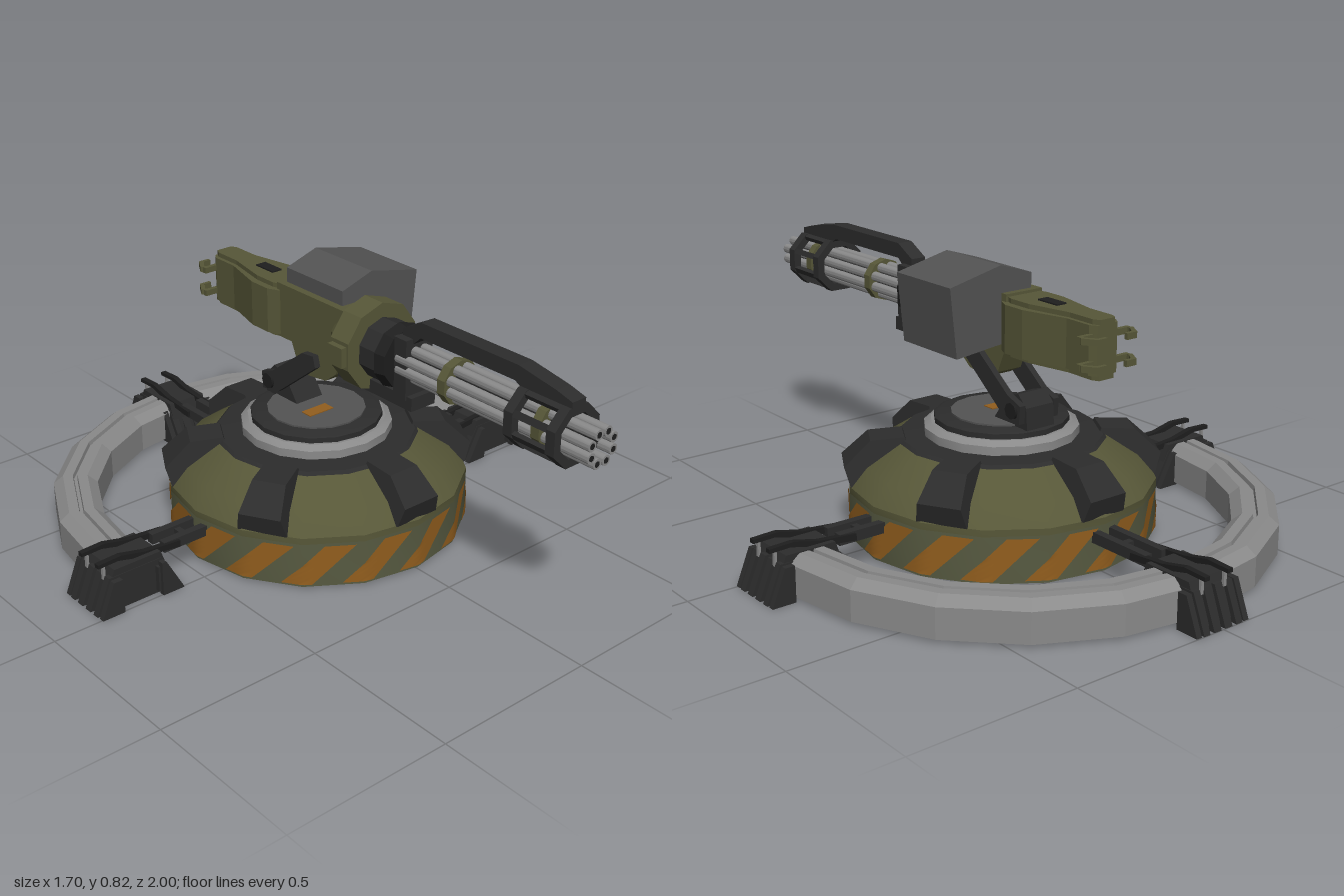
import * as THREE from 'three';
import { toCreasedNormals } from 'three/addons/utils/BufferGeometryUtils.js';

const mat = (name, color, side = THREE.FrontSide) => {
  const m = new THREE.MeshStandardMaterial({ color, side });
  m.name = name;
  return m;
};

export function createModel() {
  const olive = mat('olive', 0x575738, THREE.DoubleSide);
  const green = mat('stripe green', 0x575a41, THREE.DoubleSide);
  const orange = mat('orange', 0x925e1e, THREE.DoubleSide);
  const dark = mat('dark grey', 0x2c2c2c);
  const black = mat('black', 0x1e1e1e);
  const steel = mat('steel', 0x8a8a8a);
  const grey = mat('box grey', 0x535353);

  const add = (parent, name, geo, material, x = 0, y = 0, z = 0) => {
    const m = new THREE.Mesh(geo, material);
    m.name = name;
    m.position.set(x, y, z);
    parent.add(m);
    return m;
  };
  const group = (parent, name, x = 0, y = 0, z = 0) => {
    const g = new THREE.Group();
    g.name = name;
    g.position.set(x, y, z);
    parent.add(g);
    return g;
  };
  const box = (w, h, d) => new THREE.BoxGeometry(w, h, d);
  const lathe = (pts, n = 16, start = 0, len = Math.PI * 2, crease = 0.5) =>
    toCreasedNormals(new THREE.LatheGeometry(pts.map(p => new THREE.Vector2(...p)), n, start, len), crease);
  // cylinder lying along z
  const tubeZ = (r1, r2, len, n) =>
    toCreasedNormals(new THREE.CylinderGeometry(r1, r2, len, n).rotateX(Math.PI / 2), n > 10 ? 0.6 : 0.2);
  const extrude = (pts, depth) => {
    const s = new THREE.Shape(pts.map(p => new THREE.Vector2(...p)));
    return new THREE.ExtrudeGeometry(s, { depth, bevelEnabled: false }).translate(0, 0, -depth / 2);
  };
  // side profile given as (z, y), width along x
  const sideShape = (pts, width) => extrude(pts, width).rotateY(-Math.PI / 2);
  // plan given as (x, -z), height along y
  const planShape = (pts, height) => extrude(pts, height).rotateX(-Math.PI / 2);

  const model = new THREE.Group();
  model.name = 'turret';
  const CZ = -0.09, R = 0.458, SIDES = 16;

  // ---------- base ----------
  const base = group(model, 'base', 0, 0, CZ);
  add(base, 'baseWall', lathe([[R, 0.006], [R, 0.145]]), green);
  add(base, 'dome', lathe([[R, 0.145], [R, 0.165], [0.41, 0.22], [0.31, 0.285], [0.2, 0.285]]), olive);
  add(base, 'domeCollar', lathe([[0.315, 0.28], [0.3, 0.294], [0.21, 0.297]]), dark);
  add(base, 'steelRing', lathe([[0.23, 0.285], [0.23, 0.322], [0.21, 0.335], [0.185, 0.333]]), steel);
  add(base, 'turntable', lathe([[0.2, 0.325], [0.2, 0.35], [0.185, 0.356], [0, 0.356]]), dark);
  add(base, 'turntableDisc', new THREE.CylinderGeometry(0.15, 0.15, 0.006, 16), grey, 0, 0.358, 0);
  add(base, 'turntableLabel', box(0.09, 0.004, 0.04), orange, -0.02, 0.362, 0.03);
  // hub hanging inside the hollow base
  add(base, 'hub', lathe([[0.155, 0.075], [0.155, 0.062], [0.175, 0.062], [0.185, 0.09], [0.215, 0.22], [0.215, 0.285]]), steel);
  add(base, 'hubCap', new THREE.CylinderGeometry(0.16, 0.16, 0.02, 16), dark, 0, 0.08, 0);
  add(base, 'hubCentre', new THREE.CylinderGeometry(0.06, 0.06, 0.016, 8), black, 0, 0.066, 0);
  for (let i = 0; i < 8; i++) {
    const a = i * Math.PI / 4;
    add(base, 'hubTooth', box(0.05, 0.014, 0.06), black, Math.sin(a) * 0.11, 0.066, Math.cos(a) * 0.11).rotation.y = a;
  }

  // slanted warning stripes laid on both faces of the wall
  const facet = Math.PI * 2 / SIDES;
  for (let i = 0; i < 16; i++) for (const lift of [0.004, -0.004]) {
    const g = new THREE.PlaneGeometry(1, 1, 8, 8), p = g.attributes.position;
    for (let k = 0; k < p.count; k++) {
      const u = p.getX(k), v = p.getY(k);
      const t = i * facet + 0.1 + u * 0.2 + v * 0.28;
      const m = ((t % facet) + facet) % facet - facet / 2;
      const r = R * Math.cos(facet / 2) / Math.cos(m) + lift;
      p.setXYZ(k, Math.sin(t) * r, 0.076 + v * 0.124, Math.cos(t) * r);
    }
    g.computeVertexNormals();
    add(base, 'warningStripe', g, orange);
  }

  // six armour brackets, narrower towards the top
  const bracketGeo = sideShape([[0.4, 0.16], [0.45, 0.165], [0.468, 0.225], [0.39, 0.298], [0.29, 0.304], [0.28, 0.28]], 1);
  const bp = bracketGeo.attributes.position;
  for (let k = 0; k < bp.count; k++) bp.setX(k, bp.getX(k) * (0.152 - (bp.getY(k) - 0.16) * 0.36));
  bracketGeo.computeVertexNormals();
  for (let i = 0; i < 6; i++) add(base, 'bracket', bracketGeo, dark).rotation.y = i * Math.PI / 3;

  // ---------- half ring around the back, grooved above and below ----------
  const ringProfile = [[0.64, 0.01], [0.685, 0.01], [0.69, 0.03], [0.725, 0.03], [0.73, 0.01], [0.775, 0.01],
    [0.775, 0.1], [0.745, 0.125], [0.715, 0.125], [0.712, 0.112], [0.702, 0.112], [0.7, 0.125], [0.67, 0.125], [0.64, 0.1], [0.64, 0.01]];
  add(model, 'halfRing', lathe(ringProfile, 10, Math.PI / 2, Math.PI, 0.2), steel, 0, 0, -0.15);

  // ---------- slatted clamps with arms and rails ----------
  const footShape = [[0, 0], [0.28, 0], [0.235, 0.108], [0.06, 0.108]];
  const coreShape = [[0.02, 0.012], [0.26, 0.012], [0.215, 0.128], [0.06, 0.128]];
  const outerFlange = [[0.205, 0], [0.278, 0], [0.235, 0.106], [0.205, 0.106]];
  const innerFlange = [[0.003, 0], [0.075, 0], [0.075, 0.106], [0.06, 0.106]];
  [[Math.PI / 2, 0.57], [-Math.PI / 2, 0.57], [Math.PI, 0.63]].forEach(([angle, r]) => {
    const holder = group(model, 'clampAssembly', 0, 0, CZ);
    holder.rotation.y = angle;
    const c = group(holder, 'clamp', 0, 0, r);
    add(c, 'clampCore', sideShape(coreShape, 0.135), dark);
    for (const s of [-1, 1]) {
      add(c, 'clampSlat', sideShape(footShape, 0.026), dark, s * 0.02);
      add(c, 'clampSlat', sideShape(footShape, 0.022), dark, s * 0.059);
      add(c, 'clampFlange', sideShape(outerFlange, 0.018), dark, s * 0.086);
      add(c, 'clampFlange', sideShape(innerFlange, 0.018), dark, s * 0.086);
      add(c, 'rail', sideShape([[-0.02, 0.105], [0.1, 0.118], [0.19, 0.14], [0.255, 0.138], [0.255, 0.15], [0.18, 0.153],
        [0.1, 0.135], [-0.02, 0.125]], 0.018), black, s * 0.042);
      add(c, 'railPost', box(0.01, 0.05, 0.008), steel, s * 0.042, 0.12, 0.235);
      const len = r + 0.03 - 0.34;
      add(holder, 'arm', box(0.024, 0.032, len), dark, s * 0.03, 0.114, 0.34 + len / 2);
    }
    for (const z of [0.204, 0.076]) add(c, 'flangeTie', box(0.17, 0.08, 0.012), dark, 0, 0.05, z);
    add(holder, 'armBrace', box(0.06, 0.02, 0.02), dark, 0, 0.112, (R + r) / 2);
  });

  // ---------- mount ----------
  const mount = group(model, 'mount', 0.01, 0, 0);
  add(mount, 'mountFoot', sideShape([[-0.13, 0.355], [-0.28, 0.355], [-0.275, 0.42], [-0.24, 0.455], [-0.19, 0.44]], 0.1), dark);
  for (const s of [-1, 1]) {
    add(mount, 'mountArm', sideShape([[-0.03, 0.56], [-0.02, 0.525], [-0.2, 0.385], [-0.27, 0.375], [-0.275, 0.43], [-0.22, 0.45],
      [-0.08, 0.555]], 0.02), dark, s * 0.062);
    add(mount, 'mountPivot', new THREE.CylinderGeometry(0.025, 0.025, 0.03, 8).rotateZ(Math.PI / 2), black, s * 0.065, 0.41, -0.24);
  }

  // ---------- gun ----------
  const gun = group(model, 'gun', 0.012, 0.645, 0);
  add(gun, 'body', box(0.13, 0.17, 0.33), olive, 0, 0.01, -0.04);
  add(gun, 'belly', sideShape([[0.06, -0.07], [0.035, -0.13], [-0.01, -0.165], [-0.09, -0.175], [-0.14, -0.15], [-0.175, -0.07]], 0.085), olive);
  add(gun, 'bodyCollar', tubeZ(0.133, 0.133, 0.075, 10), olive, 0, 0, 0.15);
  add(gun, 'collarTaper', tubeZ(0.115, 0.08, 0.06, 10), olive, 0, 0, 0.085);
  add(gun, 'collarLug', box(0.03, 0.06, 0.06), olive, -0.13, 0, 0.15);
  add(gun, 'neck', tubeZ(0.09, 0.09, 0.08, 10), dark, 0, 0, 0.225);
  add(gun, 'neckFlange', tubeZ(0.09, 0.098, 0.035, 10), black, 0, 0, 0.275);
  add(gun, 'barrelHousing', box(0.1, 0.18, 0.05), dark, 0, -0.01, 0.315);
  add(gun, 'feedTray', box(0.09, 0.04, 0.31), dark, 0, -0.108, 0.205);

  // rotating barrels
  add(gun, 'barrelCore', tubeZ(0.033, 0.033, 0.64, 12), black, 0, 0, 0.64);
  for (let i = 0; i < 8; i++) {
    const a = (i + 0.5) * Math.PI / 4, x = Math.cos(a) * 0.044, y = Math.sin(a) * 0.044;
    add(gun, 'barrel', tubeZ(0.015, 0.015, 0.7, 12), steel, x, y, 0.65);
    add(gun, 'muzzleBore', tubeZ(0.009, 0.009, 0.002, 8), black, x, y, 0.9995);
  }
  for (const z of [0.49, 0.83]) add(gun, 'barrelBand', tubeZ(0.066, 0.066, 0.028, 10), olive, 0, 0, z);

  // muzzle cage
  for (const z of [0.755, 0.9]) {
    const ring = new THREE.Shape();
    const hole = new THREE.Path();
    for (let i = 0; i < 8; i++) {
      const a = (i + 0.5) * Math.PI / 4, f = i ? 'lineTo' : 'moveTo';
      ring[f](Math.cos(a) * 0.09, Math.sin(a) * 0.09);
      hole[f](Math.cos(a) * 0.064, Math.sin(a) * 0.064);
    }
    ring.holes.push(hole);
    add(gun, 'cageRing', new THREE.ExtrudeGeometry(ring, { depth: 0.03, bevelEnabled: false }), dark, 0, 0, z - 0.015);
  }
  for (let i = 0; i < 8; i++) {
    const a = (i + 0.5) * Math.PI / 4;
    add(gun, 'cageBar', box(0.014, 0.018, 0.15), dark, Math.cos(a) * 0.079, Math.sin(a) * 0.079, 0.8275).rotation.z = a;
  }
  add(gun, 'carryRail', sideShape([[0.915, 0.07], [0.915, 0.1], [0.86, 0.115], [0.73, 0.138], [0.37, 0.138], [0.3, 0.1], [0.3, 0.06],
    [0.335, 0.06], [0.37, 0.092], [0.72, 0.092], [0.76, 0.07]], 0.05), dark);

  // ammunition box hung over the left side
  add(model, 'ammoBox', extrude([[-0.03, 0.6], [0.1, 0.59], [0.235, 0.575], [0.257, 0.78], [0.08, 0.82], [-0.03, 0.785]], 0.25), grey, 0, 0, -0.06);

  // rear housing, tapering backwards, with grip prongs
  add(gun, 'rearNeck', box(0.11, 0.12, 0.06), olive, 0, 0, -0.2);
  const half = [[0.07, 0.19], [0.086, 0.225], [0.086, 0.3], [0.048, 0.44], [0.048, 0.53], [0.035, 0.55]];
  const plan = [...half, ...half.map(([x, z]) => [-x, z]).reverse()];
  add(gun, 'rearHousing', planShape(plan, 0.14), olive, 0, 0.003, 0);
  add(gun, 'rearSpine', planShape(plan.map(([x, z]) => [x * 0.75, z]), 0.168), olive, 0, 0.003, 0);
  add(gun, 'rearSlot', box(0.035, 0.006, 0.08), black, 0, 0.088, -0.325);
  for (const s of [-1, 1]) for (const y of [-0.035, 0.04]) {
    add(gun, 'prongRoot', box(0.06, 0.018, 0.014), olive, s * 0.06, y, -0.535);
    add(gun, 'prong', planShape([[0.08, 0.53], [0.094, 0.55], [0.07, 0.59], [0.035, 0.59], [0.035, 0.578], [0.06, 0.578], [0.08, 0.55]]
      .map(([x, z]) => [s * x, z]), 0.018), olive, 0, y, 0);
  }
  return model;
}
